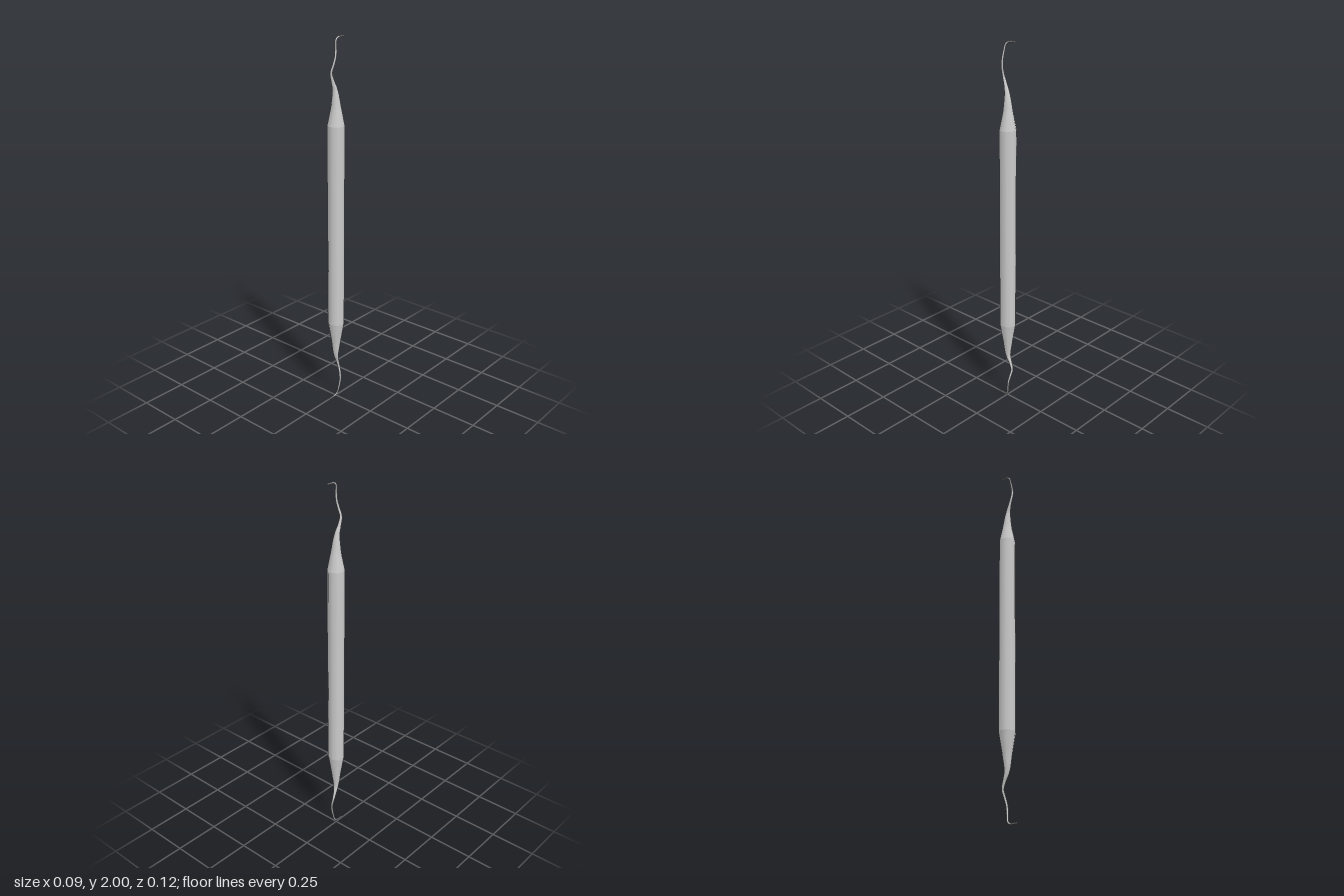
import * as THREE from 'three';

const SIDES = 10;
const RADIUS = 0.045;

// Sweeps a ten-sided ring along stations of [x, y, z, radius], with a rounded-off end.
function sweep(stations, steps) {
  const curve = new THREE.CatmullRomCurve3(stations.map(([x, y, z]) => new THREE.Vector3(x, y, z)));
  const positions = [], indices = [];
  const last = stations.length - 1;
  for (let i = 0; i <= steps; i++) {
    const t = i / steps;
    const p = curve.getPoint(t);
    const tangent = i === 0 ? new THREE.Vector3(0, 1, 0) : curve.getTangent(t);
    const side = new THREE.Vector3(1, 0, 0).addScaledVector(tangent, -tangent.x).normalize();
    const up = new THREE.Vector3().crossVectors(side, tangent);
    const k = Math.min(Math.floor(t * last), last - 1);
    const r = THREE.MathUtils.lerp(stations[k][3], stations[k + 1][3], t * last - k);
    for (let j = 0; j < SIDES; j++) {
      const a = (j / SIDES) * Math.PI * 2;
      const v = p.clone().addScaledVector(side, r * Math.cos(a)).addScaledVector(up, r * Math.sin(a));
      positions.push(v.x, v.y, v.z);
      if (i < steps) {
        const b = i * SIDES + j, c = i * SIDES + (j + 1) % SIDES;
        indices.push(b, b + SIDES, c, c, b + SIDES, c + SIDES);
      }
    }
  }
  // Close the tip
  const end = curve.getPoint(1).addScaledVector(curve.getTangent(1), 0.003);
  positions.push(end.x, end.y, end.z);
  const ring = steps * SIDES, centre = ring + SIDES;
  for (let j = 0; j < SIDES; j++) indices.push(ring + j, centre, ring + (j + 1) % SIDES);

  const geometry = new THREE.BufferGeometry();
  geometry.setAttribute('position', new THREE.Float32BufferAttribute(positions, 3));
  geometry.setIndex(indices);
  geometry.computeVertexNormals();
  return geometry;
}

// Tapered neck flowing into a wavy shank and a sideways hook; y is measured from mid-handle.
function workingEnd(name, startY, startZ, material) {
  const mesh = new THREE.Mesh(sweep([
    [-0.001, startY, startZ, RADIUS],
    [-0.001, 0.65, startZ, 0.027],
    [-0.002, 0.74, 0.004, 0.014],
    [-0.005, 0.785, 0.018, 0.009],
    [-0.004, 0.825, 0.030, 0.007],
    [0.008, 0.865, 0.027, 0.0065],
    [0.015, 0.905, 0.020, 0.006],
    [0.011, 0.95, 0.013, 0.0055],
    [0.006, 0.982, 0.006, 0.005],
    [0.004, 0.995, -0.012, 0.0045],
    [0.004, 0.9965, -0.035, 0.004],
    [0.004, 0.997, -0.056, 0.0035],
  ], 66), material);
  mesh.name = name;
  return mesh;
}

export function createModel() {
  const model = new THREE.Group();
  model.name = 'doubleEndedHandTool';
  const material = new THREE.MeshStandardMaterial({ color: 0xcccccc });

  // Ten-sided grip, with corners pointing along x
  const bottomY = 0.46, topY = 1.56, gripZ = -0.0025;
  const handle = new THREE.Mesh(
    new THREE.CylinderGeometry(RADIUS, RADIUS, topY - bottomY, SIDES).rotateY(Math.PI / 2), material);
  handle.name = 'handle';
  handle.position.set(-0.001, (topY + bottomY) / 2, gripZ);

  // The lower end is the upper one turned half around the x axis
  const upper = workingEnd('upperHook', topY - 1, gripZ, material);
  upper.position.y = 1;
  const lower = workingEnd('lowerHook', 1 - bottomY, -gripZ, material);
  lower.position.y = 1;
  lower.rotation.x = Math.PI;

  model.add(handle, upper, lower);
  return model;
}
